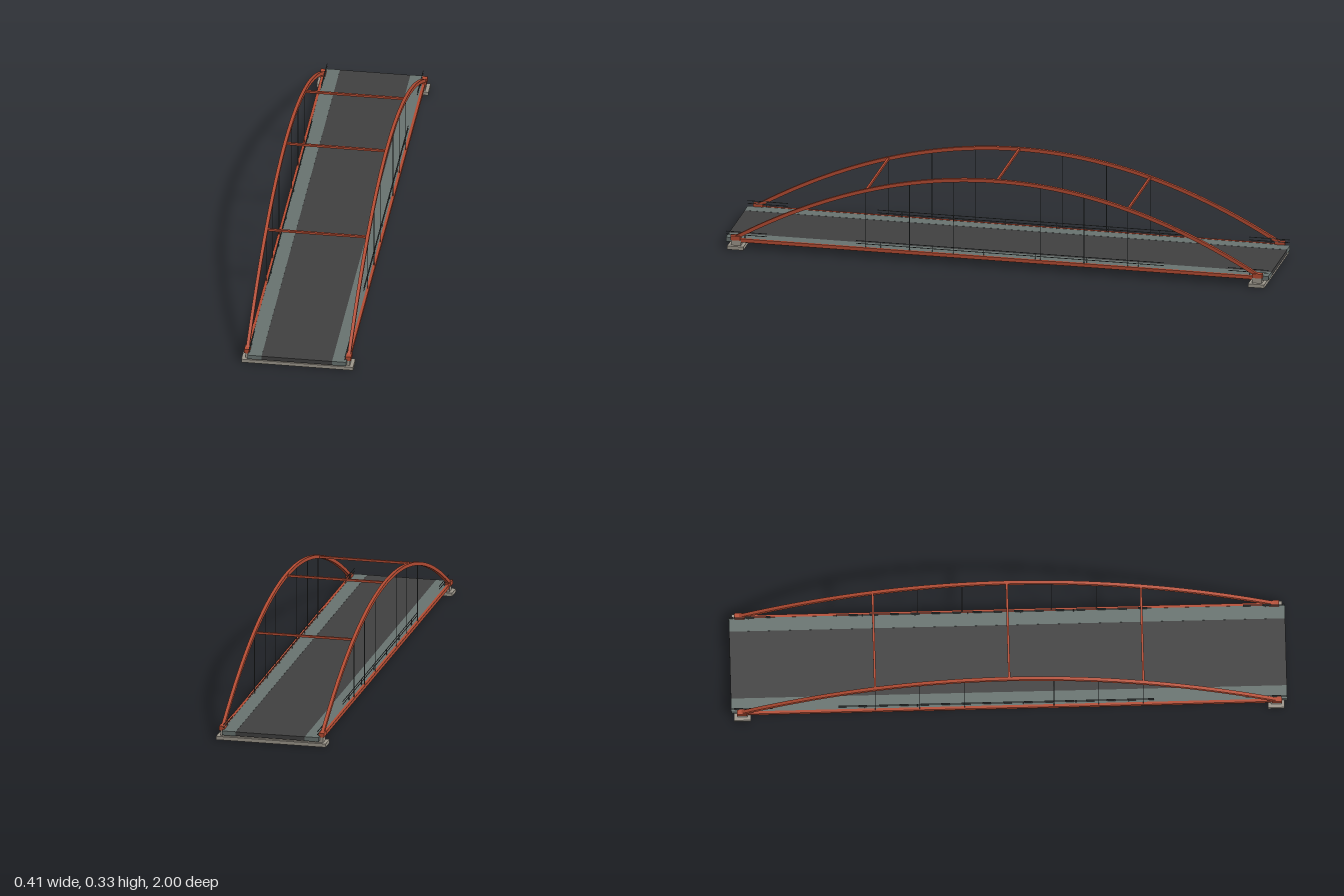
import * as THREE from 'three';

const mat = (name, color, extra) => {
  const m = new THREE.MeshStandardMaterial({ color });
  m.name = name;
  return m;
};

export function createModel() {
  const red = mat('red steel', 0xb44c33);
  const asphalt = mat('asphalt', 0x404040);
  const walk = mat('walkway grey', 0x687370);
  const concrete = mat('concrete', 0x9c968b);
  const dark = mat('dark metal', 0x454a4a);

  const bridge = new THREE.Group();
  bridge.name = 'archBridge';

  const box = (name, m, w, h, d, x, y, z) => {
    const mesh = new THREE.Mesh(new THREE.BoxGeometry(w, h, d), m);
    mesh.name = name;
    mesh.position.set(x, y, z);
    bridge.add(mesh);
    return mesh;
  };

  const END = 0.965, SIDE = 0.184;
  const archY = z => 0.04 + 0.287 * (1 - (z / END) ** 2);

  // Arch rib: parabolic band of constant depth, extruded across its width
  const archGeometry = () => {
    const n = 48, half = 0.0065, top = [], bottom = [];
    for (let i = 0; i <= n; i++) {
      const z = -END + (2 * END * i) / n;
      const slope = -2 * 0.287 * z / END ** 2;
      const len = Math.hypot(1, slope);
      const nz = -slope / len * half, ny = half / len;
      top.push(new THREE.Vector2(z + nz, archY(z) + ny));
      bottom.push(new THREE.Vector2(z - nz, archY(z) - ny));
    }
    const shape = new THREE.Shape([...bottom, ...top.reverse()]);
    const g = new THREE.ExtrudeGeometry(shape, { depth: 0.012, bevelEnabled: false });
    g.translate(0, 0, -0.006);
    g.rotateY(-Math.PI / 2);
    return g;
  };

  // Deck
  box('roadway', asphalt, 0.256, 0.015, 2, 0, 0.0300, 0);

  // Abutments
  for (const s of [1, -1]) {
    box('abutmentBase', concrete, 0.406, 0.013, 0.06, 0, 0.0065, s * 0.96);
    box('abutmentCap', concrete, 0.38, 0.021, 0.036, 0, 0.0230, s * 0.96);
  }

  for (const s of [1, -1]) {
    box('walkway', walk, 0.051, 0.016, 2, s * 0.1535, 0.0300, 0);

    const arch = new THREE.Mesh(archGeometry(), red);
    arch.name = 'arch';
    arch.position.x = s * SIDE;
    bridge.add(arch);

    box('tieBeam', red, 0.010, 0.013, 2 * END, s * SIDE, 0.0325, 0);
    for (const e of [1, -1]) box('archBearing', red, 0.02, 0.016, 0.036, s * SIDE, 0.041, e * 0.962);

    // Hangers
    for (const k of [-3, -2, -1, 1, 2, 3]) {
      const z = k * END / 6, h = archY(z) - 0.036;
      box('hanger', dark, 0.002, h, 0.002, s * SIDE, 0.036 + h / 2, z);
    }

    // Railings: a long middle run and a short run at each end
    const runs = [
      [-0.615, 0.52, [0.43, 0.24, 0.05, -0.14, -0.33, -0.52]],
      [0.85, 0.999, [0.93]],
      [-0.999, -0.85, [-0.93]],
    ];
    for (const [a, b, posts] of runs) {
      for (const y of [0.049, 0.0595])
        box('handrail', dark, 0.002, 0.002, b - a, s * 0.1745, y, (a + b) / 2);
      for (const z of posts) box('railPost', dark, 0.002, 0.023, 0.002, s * 0.1745, 0.0485, z);
    }
  }

  // Cross braces between the arches
  for (const k of [-1, 0, 1]) {
    const z = k * END / 2;
    box('crossBrace', red, 2 * SIDE, 0.008, 0.008, 0, archY(z) - 0.001, z);
  }

  return bridge;
}
